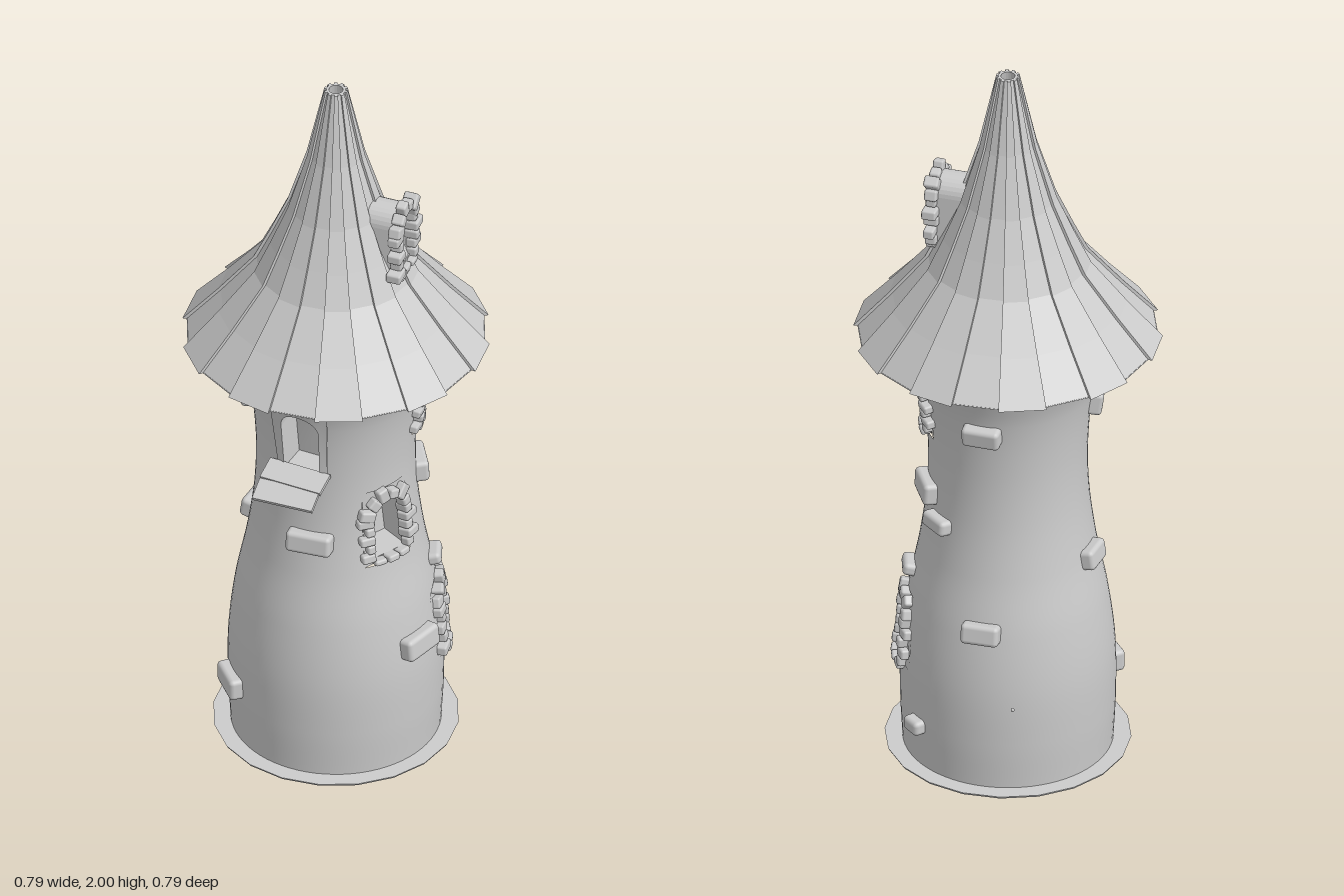
import * as THREE from 'three';
import { RoundedBoxGeometry } from 'three/addons/geometries/RoundedBoxGeometry.js';

const grey = new THREE.MeshStandardMaterial({ color: 0xcccccc });
const greyFlat = new THREE.MeshStandardMaterial({ color: 0xcccccc, flatShading: true });
const greyDouble = new THREE.MeshStandardMaterial({ color: 0xcccccc, side: THREE.DoubleSide });
const DEG = Math.PI / 180, HEIGHT = 1.24, COLS = 72, ROWS = 62;

let seed = 7;
const rand = (a, b) => {
  seed = (seed * 16807) % 2147483647;
  return a + (b - a) * seed / 2147483647;
};

// Tower radius at evenly spaced heights
const curve = new THREE.SplineCurve([0.268, 0.275, 0.274, 0.256, 0.226, 0.207, 0.205, 0.222, 0.265]
  .map((r, i) => new THREE.Vector2(i * HEIGHT / 8, r)));
const radiusAt = y => curve.getPoint(Math.min(1, Math.max(0, y / HEIGHT))).y;
const slopeAt = y => (radiusAt(y + 0.01) - radiusAt(y - 0.01)) / 0.02;

function add(parent, name, geometry, material = grey) {
  const mesh = new THREE.Mesh(geometry, material);
  mesh.name = name;
  parent.add(mesh);
  return mesh;
}

function buildGeometry(positions, index, normals) {
  const g = new THREE.BufferGeometry();
  g.setAttribute('position', new THREE.Float32BufferAttribute(positions, 3));
  g.setIndex(index);
  if (normals) g.setAttribute('normal', new THREE.Float32BufferAttribute(normals, 3));
  else g.computeVertexNormals();
  return g;
}

// u is the angle to the right around the tower, starting from +x
function wallPoint(u, y, depth = 0) {
  const r = radiusAt(y) - depth;
  return [r * Math.cos(u), y, -r * Math.sin(u)];
}
function wallGeometry(uv, index) {
  const normals = uv.flatMap(([u, y]) =>
    new THREE.Vector3(Math.cos(u), -slopeAt(y), -Math.sin(u)).normalize().toArray());
  return buildGeometry(uv.flatMap(([u, y]) => wallPoint(u, y)), index, normals);
}

// Turn an object to face outward from the wall
function placeOnWall(object, u, y, out = 0) {
  object.rotation.order = 'YXZ';
  object.rotation.y = Math.PI / 2 + u;
  object.rotation.x = Math.atan(slopeAt(y));
  object.position.set(...wallPoint(u, y, -out));
}

// Round-headed outline standing on v = 0
function archPoints(w, h) {
  const pts = [new THREE.Vector2(-w / 2, 0), new THREE.Vector2(w / 2, 0)];
  for (let i = 0; i <= 14; i++) {
    const a = i / 14 * Math.PI;
    pts.push(new THREE.Vector2(Math.cos(a) * w / 2, h - w / 2 + Math.sin(a) * w / 2));
  }
  return pts;
}

// Wall opening: surrounding patch, reveal and back panel
function buildOpening(tower, win) {
  const { u, y, w, h, c0, c1, r0, r1 } = win;
  const depth = 0.08, r = radiusAt(y + h / 2);
  const arch = archPoints(w, h);
  const node = (c, row) => new THREE.Vector2(c * 2 * Math.PI / COLS, row * HEIGHT / ROWS);
  const rim = [];
  for (let c = c0; c < c1; c++) rim.push(node(c, r0));
  for (let k = r0; k < r1; k++) rim.push(node(c1, k));
  for (let c = c1; c > c0; c--) rim.push(node(c, r1));
  for (let k = r1; k > r0; k--) rim.push(node(c0, k));
  const shape = new THREE.Shape(rim);
  shape.holes.push(new THREE.Path(arch.map(p => new THREE.Vector2(u + p.x / r, y + p.y))));
  const flat = new THREE.ShapeGeometry(shape), pos = flat.attributes.position;
  const uv = Array.from({ length: pos.count }, (_, i) => [pos.getX(i), pos.getY(i)]);
  add(tower, 'wallAroundWindow', wallGeometry(uv, [...flat.index.array]));

  const deep = p => wallPoint(u + p.x / (r - depth), y + p.y, depth);
  const reveal = [], index = [], n = arch.length;
  for (let i = 0; i < n; i++) {
    const a = arch[i], b = arch[(i + 1) % n], k = i * 4;
    reveal.push(...wallPoint(u + a.x / r, y + a.y), ...wallPoint(u + b.x / r, y + b.y), ...deep(b), ...deep(a));
    index.push(k, k + 1, k + 2, k, k + 2, k + 3);
  }
  add(tower, 'windowReveal', buildGeometry(reveal, index), greyDouble);
  const back = new THREE.ShapeGeometry(new THREE.Shape(arch));
  const bp = back.attributes.position;
  for (let i = 0; i < bp.count; i++) bp.setXYZ(i, ...deep(new THREE.Vector2(bp.getX(i), bp.getY(i))));
  back.computeVertexNormals();
  add(tower, 'windowBack', back, greyDouble);
}

// Irregular stones round an arch; place(stone, x, y) positions each one
function buildFrame(parent, w, h, place) {
  const stone = (x, y, sw, sh, turn = 0) => {
    const m = add(parent, 'frameStone', new RoundedBoxGeometry(sw, sh, rand(0.026, 0.04), 1, 0.006));
    place(m, x, y);
    m.rotation.z = turn;
  };
  const spring = h - w / 2;
  for (const side of [-1, 1]) {
    for (let i = 0; i < 5; i++) {
      const sw = (i + (side > 0 ? 1 : 0)) % 2 ? rand(0.022, 0.028) : rand(0.038, 0.048);
      stone(side * (w / 2 + sw / 2 - 0.004), (i + 0.4) * spring / 4.6, sw, spring / 4.6 - 0.001, rand(-0.08, 0.08));
    }
  }
  for (let i = 0; i < 6; i++) {
    const a = (i + 0.5) / 6 * Math.PI, len = i % 2 ? rand(0.038, 0.044) : rand(0.026, 0.032);
    const d = w / 2 + len / 2 - 0.004;
    stone(Math.cos(a) * d, spring + Math.sin(a) * d, len, 0.03, a);
  }
  for (const x of [-0.036, 0, 0.036]) stone(x, -0.008, 0.035, rand(0.015, 0.022));
}

function buildTower(tower) {
  const windows = [[-90, 0.92, 0.104, 0.19], [-25, 0.66, 0.104, 0.17], [25, 0.98, 0.098, 0.16], [25, 0.28, 0.098, 0.18]]
    .map(([deg, y, w, h]) => ({
      u: deg * DEG, y, w, h, c0: deg / 5 - 4, c1: deg / 5 + 4,
      r0: Math.round(y / 0.02) - 1, r1: Math.ceil((y + h) / 0.02) + 1,
    }));
  const uv = [], index = [], half = COLS / 2;
  for (let j = 0; j <= ROWS; j++)
    for (let i = -half; i <= half; i++) uv.push([i * 2 * Math.PI / COLS, j * HEIGHT / ROWS]);
  for (let j = 0; j < ROWS; j++) for (let i = -half; i < half; i++) {
    if (windows.some(w => i >= w.c0 && i < w.c1 && j >= w.r0 && j < w.r1)) continue;
    const a = j * (COLS + 1) + i + half, d = a + COLS + 1;
    index.push(a, a + 1, d + 1, a, d + 1, d);
  }
  add(tower, 'towerWall', wallGeometry(uv, index));
  windows.forEach((win, i) => {
    buildOpening(tower, win);
    if (i === 0) return;
    const frame = new THREE.Group();
    frame.name = 'windowFrame';
    tower.add(frame);
    buildFrame(frame, win.w, win.h, (m, x, y) =>
      placeOnWall(m, win.u + x / radiusAt(win.y), win.y + y, 0.004));
  });
  add(tower, 'towerBottom', new THREE.CircleGeometry(0.268, COLS)).rotation.x = Math.PI / 2;
  add(tower, 'baseRim', new THREE.CylinderGeometry(0.315, 0.312, 0.006, 20), greyFlat).position.y = 0.027;

  // Stones standing out of the wall: angle, height, width, stone height
  for (const [deg, y, w, h] of [[-160, 1.045, 0.1, 0.065], [-181, 0.62, 0.09, 0.055], [-135, 0.2, 0.11, 0.06],
    [-82, 0.72, 0.12, 0.058], [-13, 0.38, 0.12, 0.062], [35, 0.8, 0.11, 0.06], [56, 0.735, 0.09, 0.042],
    [24, 0.54, 0.075, 0.034], [55, 0.15, 0.06, 0.04], [94, 1.05, 0.1, 0.055], [96, 0.48, 0.1, 0.055]]) {
    placeOnWall(add(tower, 'wallStone', new RoundedBoxGeometry(w, h, 0.05, 2, 0.012)), deg * DEG, y, 0.003);
  }

  // Sloping sill boards below the front window
  const sill = add(tower, 'sillBoard', new THREE.BoxGeometry(0.17, 0.011, 0.065));
  sill.position.set(-0.005, 0.922, 0.226);
  sill.rotation.x = 0.3;
  const lower = add(tower, 'sillBoardLower', new THREE.BoxGeometry(0.165, 0.011, 0.06));
  lower.position.set(-0.005, 0.898, 0.28);
  lower.rotation.set(0.45, 0.06, 0);
  add(tower, 'pebble', new THREE.SphereGeometry(0.005, 8, 6)).position.set(-0.155, 0.34, -0.36);
}

// Twenty bent slabs, alternately raised and sunk
function buildRoof(roof) {
  const profile = [[0.39, 1.235], [0.3, 1.337], [0.208, 1.45], [0.168, 1.535], [0.122, 1.64], [0.072, 1.8], [0.028, 2]];
  for (let p = 0; p < 20; p++) {
    const shift = p % 2 ? -0.006 : 0.005, positions = [], index = [];
    const a0 = Math.PI / 2 - p * 18 * DEG, a1 = a0 - 18 * DEG;
    profile.forEach(([r, y], k) => {
      const lift = shift * (1 - 0.08 * k), inner = r - 0.022 + 0.002 * k;
      for (const [a, rr] of [[a0, r + lift], [a1, r + lift], [a1, inner], [a0, inner]])
        positions.push(rr * Math.cos(a), y, -rr * Math.sin(a));
      if (k === 0) return;
      for (let s = 0; s < 4; s++) {
        const b = (k - 1) * 4 + s, c = (k - 1) * 4 + (s + 1) % 4;
        index.push(b, b + 4, c + 4, b, c + 4, c);
      }
    });
    const t = (profile.length - 1) * 4;
    index.push(0, 1, 2, 0, 2, 3, t, t + 2, t + 1, t, t + 3, t + 2);
    const g = buildGeometry(positions, index).toNonIndexed();
    g.computeVertexNormals();
    add(roof, 'roofPanel', g, new THREE.MeshStandardMaterial({ color: 0xcccccc, flatShading: true, side: THREE.DoubleSide }));
  }
  const under = add(roof, 'roofUnderside', new THREE.RingGeometry(0.24, 0.383, 20), greyDouble);
  under.rotation.x = Math.PI / 2;
  under.position.y = 1.237;

  // Arched dormer set into the slope
  const dormer = new THREE.Group();
  dormer.name = 'dormer';
  const shell = new THREE.Shape(archPoints(0.1, 0.185));
  shell.holes.push(new THREE.Path(archPoints(0.088, 0.172).map(p => p.setY(p.y + 0.006))));
  add(dormer, 'dormerVault', new THREE.ExtrudeGeometry(shell, { depth: 0.11, bevelEnabled: false }))
    .position.z = -0.11;
  buildFrame(dormer, 0.088, 0.172, (m, x, y) => m.position.set(x, y, 0.002));
  dormer.position.set(0.186, 1.497, -0.014);
  dormer.rotation.y = Math.PI / 2 + 5 * DEG;
  roof.add(dormer);
}

export function createModel() {
  seed = 7;
  const model = new THREE.Group();
  model.name = 'roundTower';
  for (const [name, build] of [['tower', buildTower], ['roof', buildRoof]]) {
    const part = new THREE.Group();
    part.name = name;
    build(part);
    model.add(part);
  }
  return model;
}
